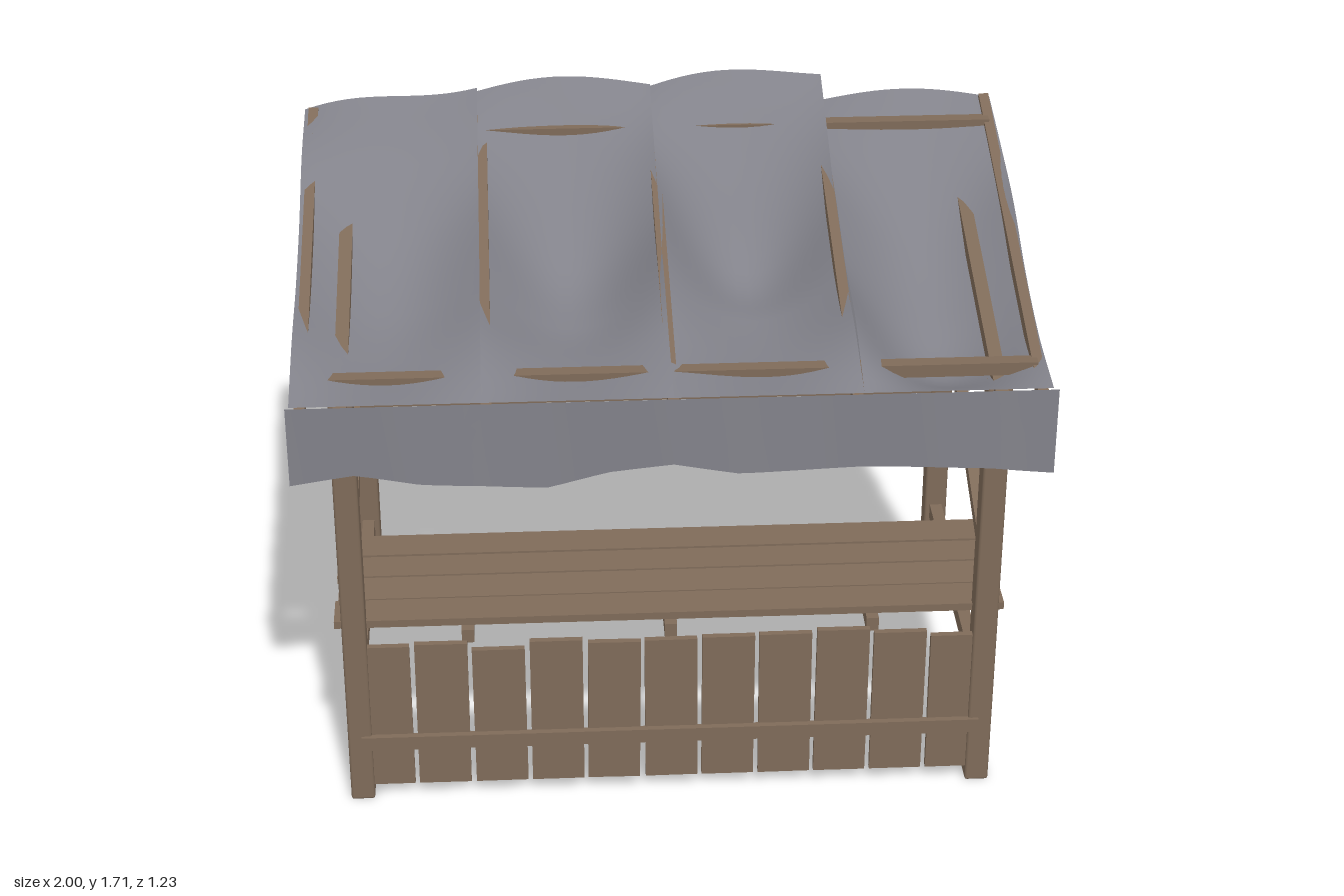
import * as THREE from 'three';
import { RoundedBoxGeometry } from 'three/addons/geometries/RoundedBoxGeometry.js';
import { ParametricGeometry } from 'three/addons/geometries/ParametricGeometry.js';

export function createModel() {
  const stall = new THREE.Group();
  stall.name = 'marketStall';

  const wood = new THREE.MeshStandardMaterial({ color: 0x7f6b59 });
  wood.name = 'weathered wood';
  const cloth = new THREE.MeshStandardMaterial({ color: 0x82828a, side: THREE.DoubleSide });
  cloth.name = 'grey canvas';

  const add = (name, geometry, material, x = 0, y = 0, z = 0) => {
    const mesh = new THREE.Mesh(geometry, material);
    mesh.name = name;
    mesh.position.set(x, y, z);
    stall.add(mesh);
    return mesh;
  };
  const box = (name, w, h, d, x, y, z) =>
    add(name, new THREE.BoxGeometry(w, h, d), wood, x, y, z);

  // Sloping beam in the y-z plane between two (z, y) points
  const slope = (name, x, z0, y0, z1, y1, width, height) => {
    const beam = box(name, width, height, Math.hypot(z1 - z0, y1 - y0),
      x, (y0 + y1) / 2, (z0 + z1) / 2);
    beam.rotation.x = Math.atan2(y1 - y0, z0 - z1);
    return beam;
  };

  // Posts, side rails, braces and sloping top beams
  for (const s of [-1, 1]) {
    const x = s * 0.865;
    add('frontPost', new RoundedBoxGeometry(0.066, 1.26, 0.066, 1, 0.007), wood, x, 0.63, 0.482);
    add('backPost', new RoundedBoxGeometry(0.066, 1.56, 0.066, 1, 0.007), wood, x, 0.78, -0.482);
    box('sideRail', 0.036, 0.046, 0.92, x, 0.313, 0);
    slope('sideBrace', x, 0.46, 0.695, -0.46, 1.07, 0.034, 0.036);
    slope('topSideBeam', x, 0.555, 1.24, -0.56, 1.53, 0.036, 0.04);
  }
  box('backRail', 1.68, 0.046, 0.036, 0, 0.747, -0.47);

  // Roof frame
  const roofLine = z => 1.455 - 0.29 * z;
  for (const x of [-0.965, -0.485, 0, 0.48, 0.965]) {
    slope('rafter', x, 0.6, roofLine(0.6) - 0.018, -0.6, roofLine(-0.6) - 0.018, 0.028, 0.036);
  }
  for (const z of [0.47, -0.49]) {
    box('purlin', 1.93, 0.036, 0.04, 0, roofLine(z) - 0.015, z);
  }

  // Front boards with slightly uneven tops
  const tops = [0.49, 0.5, 0.505, 0.482, 0.505, 0.495, 0.498, 0.502, 0.505, 0.513, 0.5, 0.485];
  const tilts = [0, -0.004, 0.003, 0, -0.01, 0.005, 0, 0.004, -0.003, 0, 0.003];
  for (let i = 0; i < 11; i++) {
    const h = tops[i + 1] - 0.045;
    const board = box('frontBoard', 0.145, h, 0.018, (i - 5) * 0.158, 0.045 + h / 2, 0.498);
    board.rotation.z = tilts[i];
  }
  box('frontRail', 1.72, 0.042, 0.02, 0, 0.192, 0.514);

  // Counter planks and supports
  for (let i = 0; i < 4; i++) {
    const plank = box('counterPlank', 1.84 - (i % 2) * 0.015, 0.022, 0.106, 0, 0.553, 0.417 - i * 0.114);
    plank.rotation.x = [0, 0.03, -0.025, 0][i];
  }
  for (const x of [-0.556, 0, 0.556]) box('counterSupport', 0.034, 0.04, 0.45, x, 0.515, 0.26);

  // Canvas helpers: straight-line interpolation and smooth profiles
  const polyline = (points, x) => {
    let i = 0;
    while (i < points.length - 2 && x > points[i + 1][0]) i++;
    const [a, b] = [points[i], points[i + 1]];
    return a[1] + (b[1] - a[1]) * (x - a[0]) / (b[0] - a[0]);
  };
  const smooth = values => {
    const curve = new THREE.CatmullRomCurve3(values.map((y, i) => new THREE.Vector3(i, y, 0)));
    return t => curve.getPoint(t).y;
  };
  const sheet = (name, nu, nv, fn) =>
    add(name, new ParametricGeometry((u, v, p) => fn(u, v, p), nu, nv), cloth);

  // Four sagging roof panels: offsets from the roof line, front to back,
  // along the left edge, middle and right edge of each
  const panels = [
    [-0.99, -0.497, [0.035, 0.03, -0.005, -0.012, 0.015, -0.015],
      [0.035, -0.05, -0.1, -0.09, 0, 0.02], [0.035, 0.03, 0.012, 0.01, 0.03, 0.04]],
    [-0.497, 0, [0.035, 0.03, -0.012, -0.014, 0.0, 0.03],
      [0.035, -0.06, -0.15, -0.18, -0.07, 0.07], [0.035, 0.01, 0.012, -0.012, 0.02, 0.04]],
    [0, 0.492, [0.035, -0.01, -0.01, 0.015, 0.02, 0.035],
      [0.035, -0.06, -0.14, -0.2, -0.06, 0.08], [0.035, 0.03, -0.01, -0.01, 0.03, 0.06]],
    [0.492, 0.985, [0.035, 0.06, 0.02, 0.02, 0.0, -0.02],
      [0.035, -0.13, -0.14, -0.11, -0.04, 0.01], [0.035, -0.01, -0.015, 0.012, 0.0, -0.02]],
  ];
  panels.forEach(([x0, x1, left, middle, right]) => {
    const [l, m, r] = [smooth(left), smooth(middle), smooth(right)];
    sheet('roofCanvas', 16, 28, (u, v, p) => {
      const z = 0.615 - 1.225 * v;
      const edge = l(v) * (1 - u) + r(v) * u;
      const k = Math.sin(Math.PI * u);
      p.set(x0 + (x1 - x0) * u, roofLine(z) + edge * (1 - k) + m(v) * k, z);
    });
  });

  // Front valance with an uneven hem
  const frontHem = [[-1, 1.08], [-0.83, 1.105], [-0.66, 1.075], [-0.5, 1.068], [-0.33, 1.055],
    [-0.17, 1.095], [0, 1.115], [0.17, 1.085], [0.5, 1.092], [0.83, 1.08], [1, 1.06]];
  sheet('frontValance', 48, 4, (u, v, p) => {
    const x = 2 * u - 1;
    p.set(x, 1.308 + (polyline(frontHem, x) - 1.308) * v, 0.617 + 0.004 * v * Math.sin(9 * x));
  });

  // Hanging back curtain
  const backHem = [[-0.9, 0.66], [-0.68, 0.69], [-0.45, 0.635], [-0.22, 0.72], [0, 0.695],
    [0.22, 0.67], [0.45, 0.68], [0.67, 0.63], [0.9, 0.71]];
  sheet('backCurtain', 48, 10, (u, v, p) => {
    const x = 0.9 - 1.8 * u;
    p.set(x, 1.565 + (polyline(backHem, x) - 1.565) * v,
      -0.518 - 0.022 * v + 0.005 * v * Math.sin(8 * x));
  });

  return stall;
}
